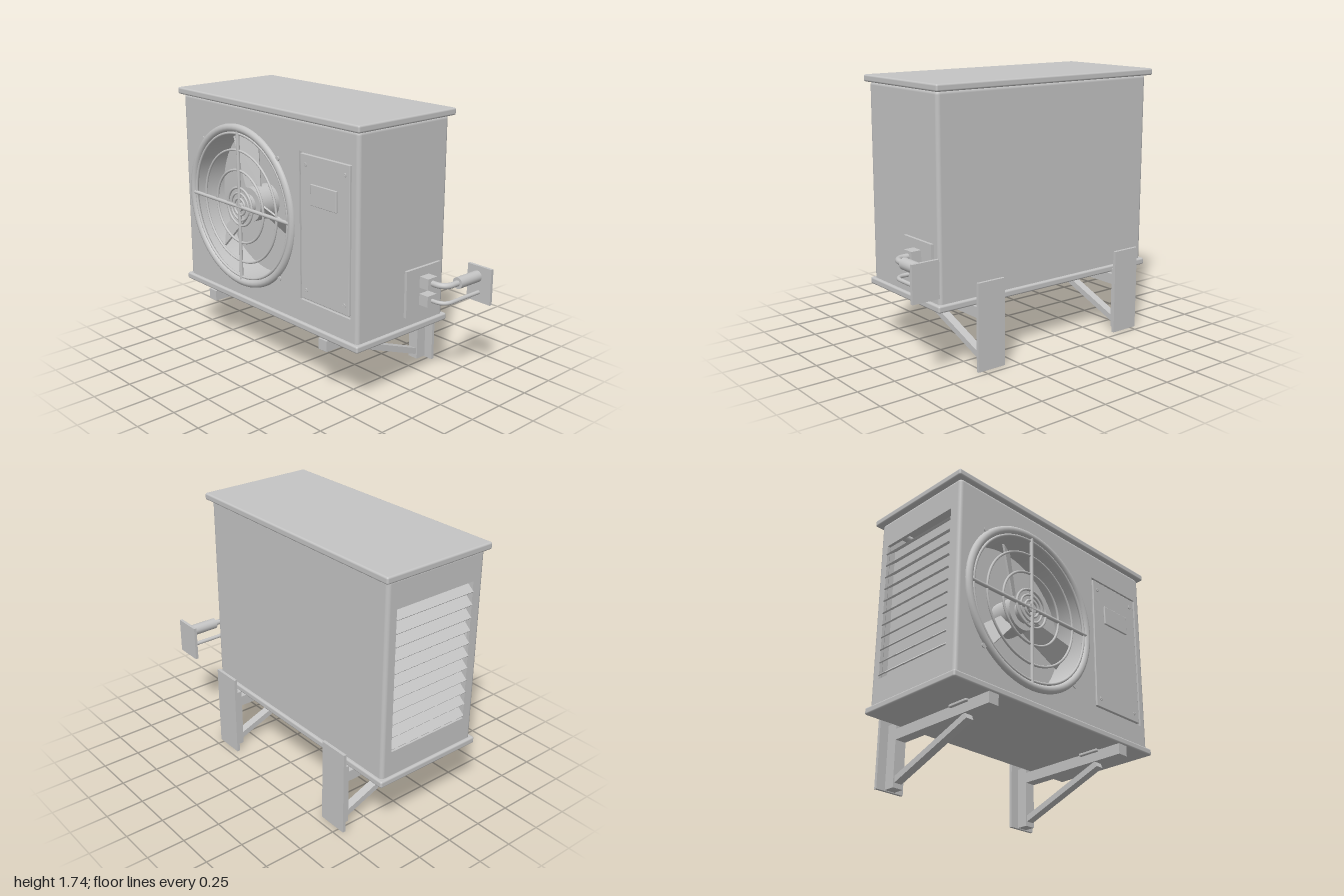
import * as THREE from 'three';
import { RoundedBoxGeometry } from 'three/addons/geometries/RoundedBoxGeometry.js';

const grey = new THREE.MeshStandardMaterial({ color: 0xc4c4c4, side: THREE.DoubleSide });
grey.name = 'light grey metal';

function add(parent, name, geometry, x = 0, y = 0, z = 0) {
  const mesh = new THREE.Mesh(geometry, grey);
  mesh.name = name;
  mesh.position.set(x, y, z);
  parent.add(mesh);
  return mesh;
}

// Box given by its limits, with optional rounded edges
function box(parent, name, x0, x1, y0, y1, z0, z1, r = 0) {
  const s = [x1 - x0, y1 - y0, z1 - z0];
  const geo = r ? new RoundedBoxGeometry(...s, 3, r) : new THREE.BoxGeometry(...s);
  return add(parent, name, geo, (x0 + x1) / 2, (y0 + y1) / 2, (z0 + z1) / 2);
}

// Round bar between two points, with ball ends when capped
function rod(parent, name, a, b, r, round = false) {
  const p = new THREE.Vector3(...a), q = new THREE.Vector3(...b);
  const d = q.clone().sub(p), len = d.length();
  const geo = round ? new THREE.CapsuleGeometry(r, len, 4, 16) : new THREE.CylinderGeometry(r, r, len, 20);
  const mesh = add(parent, name, geo, ...p.add(q).multiplyScalar(0.5).toArray());
  mesh.quaternion.setFromUnitVectors(new THREE.Vector3(0, 1, 0), d.normalize());
  return mesh;
}

function rect(PathType, x0, x1, y0, y1) {
  return new PathType([[x0, y0], [x1, y0], [x1, y1], [x0, y1]].map(p => new THREE.Vector2(...p)));
}

const FX = -0.375, FY = 1.035; // fan centre
const X0 = -0.97, X1 = 0.715, Y0 = 0.42, Y1 = 1.695, Z0 = -0.315, Z1 = 0.43, R = 0.025; // cabinet

function cabinet() {
  const g = new THREE.Group();
  g.name = 'cabinet';
  box(g, 'lid', -1, 0.74, 1.69, 1.735, -0.35, 0.455, 0.012);
  box(g, 'basePan', -0.99, 0.735, 0.38, 0.425, -0.335, 0.45, 0.012);

  // Front sheet with fan opening and hatch opening
  const front = rect(THREE.Shape, X0 + R, X1 - R, Y0, Y1 - R);
  front.holes.push(new THREE.Path().absarc(FX, FY, 0.495, 0, Math.PI * 2, true));
  front.holes.push(rect(THREE.Path, 0.21, 0.66, 0.57, 1.505));
  add(g, 'frontSheet', new THREE.ExtrudeGeometry(front, { depth: 0.02, bevelEnabled: false, curveSegments: 48 }), 0, 0, Z1 - 0.02);

  // Side sheet with louvre opening
  const side = rect(THREE.Shape, Z0 + R, Z1 - R, Y0, Y1 - R);
  side.holes.push(rect(THREE.Path, -0.245, 0.35, 0.59, 1.51));
  const sheet = add(g, 'louvreSheet', new THREE.ExtrudeGeometry(side, { depth: 0.02, bevelEnabled: false }), X0 + 0.02);
  sheet.rotation.y = -Math.PI / 2;

  box(g, 'backSheet', X0 + R, X1 - R, Y0, Y1 - R, Z0, Z0 + 0.02);
  box(g, 'valveSideSheet', X1 - 0.02, X1, Y0, Y1 - R, Z0 + R, Z1 - R);

  // Rounded cabinet edges
  const xs = [X0 + R, X1 - R], zs = [Z0 + R, Z1 - R], yt = Y1 - R;
  for (const x of xs) {
    for (const z of zs) rod(g, 'cornerEdge', [x, Y0, z], [x, yt, z], R, true);
    rod(g, 'topEdge', [x, yt, zs[0]], [x, yt, zs[1]], R, true);
  }
  for (const z of zs) rod(g, 'topEdge', [xs[0], yt, z], [xs[1], yt, z], R, true);

  // Louvre slats sloping down and outwards
  box(g, 'louvreBacking', X0 + 0.075, X0 + 0.08, 0.57, 1.53, -0.265, 0.37);
  for (let i = 0; i < 11; i++) {
    const slat = add(g, 'louvreSlat', new THREE.BoxGeometry(0.095, 0.008, 0.595), X0 + 0.032, 0.64 + i * 0.0835, 0.0525);
    slat.rotation.z = 0.7;
  }
  return g;
}

function fan() {
  const g = new THREE.Group();
  g.name = 'fan';
  g.position.set(FX, FY, 0);
  // Recess behind the grille
  const shroud = add(g, 'shroud', new THREE.CylinderGeometry(0.495, 0.495, 0.22, 64, 1, true), 0, 0, 0.305);
  shroud.rotation.x = Math.PI / 2;
  add(g, 'recessBack', new THREE.CircleGeometry(0.495, 64), 0, 0, 0.195);

  // Hub and three pitched blades
  rod(g, 'hub', [0, 0, 0.2], [0, 0, 0.36], 0.115);
  rod(g, 'hubCap', [0, 0, 0.36], [0, 0, 0.385], 0.07);
  for (const deg of [102, -18, 222]) {
    const arm = new THREE.Group();
    arm.name = 'bladeArm';
    arm.position.z = 0.3;
    arm.rotation.z = THREE.MathUtils.degToRad(deg);
    const outline = new THREE.Shape([[0.09, -0.05], [0.45, -0.085], [0.45, 0.085], [0.09, 0.05]].map(p => new THREE.Vector2(...p)));
    const blade = add(arm, 'blade', new THREE.ExtrudeGeometry(outline, { depth: 0.012, bevelEnabled: false }));
    blade.rotation.x = 0.55;
    g.add(arm);
  }

  // Grille rings: radius, wire thickness, depth position
  const rings = [[0.512, 0.027, 0.428], [0.478, 0.009, 0.435], [0.37, 0.008, 0.435],
    [0.24, 0.008, 0.435], [0.125, 0.008, 0.435], [0.09, 0.007, 0.435], [0.055, 0.008, 0.437]];
  for (const [r, t, z] of rings) add(g, 'grilleRing', new THREE.TorusGeometry(r, t, 12, 72), 0, 0, z);
  rod(g, 'grilleBar', [-0.5, 0, 0.438], [0.5, 0, 0.438], 0.012, true);
  rod(g, 'grilleBar', [0, -0.5, 0.438], [0, 0.5, 0.438], 0.012, true);
  rod(g, 'grilleBoss', [0, 0, 0.425], [0, 0, 0.448], 0.03);
  for (const sx of [-1, 1]) for (const sy of [-1, 1])
    rod(g, 'grilleScrew', [sx * 0.386, sy * 0.386, 0.42], [sx * 0.386, sy * 0.386, 0.437], 0.016);
  return g;
}

function hatch() {
  const g = new THREE.Group();
  g.name = 'serviceHatch';
  box(g, 'hatchRecess', 0.2, 0.67, 0.56, 1.515, 0.405, 0.412);
  box(g, 'hatchPanel', 0.222, 0.645, 0.585, 1.493, 0.41, 0.431, 0.004);
  box(g, 'hatchPlate', 0.32, 0.545, 1.195, 1.325, 0.43, 0.443, 0.004);
  for (const x of [0.265, 0.603]) for (const y of [0.642, 1.43]) {
    rod(g, 'hatchScrew', [x, y, 0.425], [x, y, 0.435], 0.014);
    box(g, 'screwCross', x - 0.01, x + 0.01, y - 0.002, y + 0.002, 0.434, 0.437);
    box(g, 'screwCross', x - 0.002, x + 0.002, y - 0.01, y + 0.01, 0.434, 0.437);
  }
  return g;
}

function piping() {
  const g = new THREE.Group();
  g.name = 'piping';
  box(g, 'valvePlate', X1, 0.735, 0.49, 0.79, -0.262, 0.038);
  box(g, 'wallPlate', 0.81, 0.995, 0.522, 0.757, -0.455, -0.435);
  // Each pipe leaves its valve, bends back and meets the wall plate
  for (const [y, r] of [[0.698, 0.019], [0.586, 0.013]]) {
    box(g, 'valveBlock', 0.735, 0.805, y - 0.036, y + 0.036, -0.155, -0.075);
    const v = (x, z) => new THREE.Vector3(x, y, z);
    const path = new THREE.CurvePath();
    path.add(new THREE.LineCurve3(v(0.79, -0.115), v(0.83, -0.115)));
    path.add(new THREE.CubicBezierCurve3(v(0.83, -0.115), v(0.872, -0.115), v(0.902, -0.145), v(0.902, -0.187)));
    path.add(new THREE.LineCurve3(v(0.902, -0.187), v(0.902, -0.44)));
    add(g, 'pipe', new THREE.TubeGeometry(path, 48, r, 16));
  }
  rod(g, 'pipeInsulation', [0.902, 0.698, -0.23], [0.902, 0.698, -0.415], 0.037);
  return g;
}

function bracket(x) {
  const g = new THREE.Group();
  g.name = 'wallBracket';
  g.position.x = x;
  box(g, 'mountingPlate', -0.1, 0.1, 0, 0.56, -0.455, -0.435);
  box(g, 'post', -0.037, 0.037, 0.005, 0.415, -0.436, -0.36);
  box(g, 'arm', -0.037, 0.037, 0.305, 0.375, -0.36, 0.45);
  box(g, 'footPad', -0.055, 0.055, 0.363, 0.382, 0.13, 0.28, 0.006);
  rod(g, 'plateBolt', [0, 0.49, -0.436], [0, 0.49, -0.418], 0.016);
  const brace = add(g, 'brace', new THREE.BoxGeometry(0.055, 0.04, 0.67), 0, 0.172, -0.063);
  brace.rotation.x = -Math.atan2(0.237, 0.615);
  return g;
}

export function createModel() {
  const model = new THREE.Group();
  model.name = 'outdoorCondenserUnit';
  model.add(cabinet(), fan(), hatch(), piping(), bracket(-0.693), bracket(0.435));
  return model;
}
